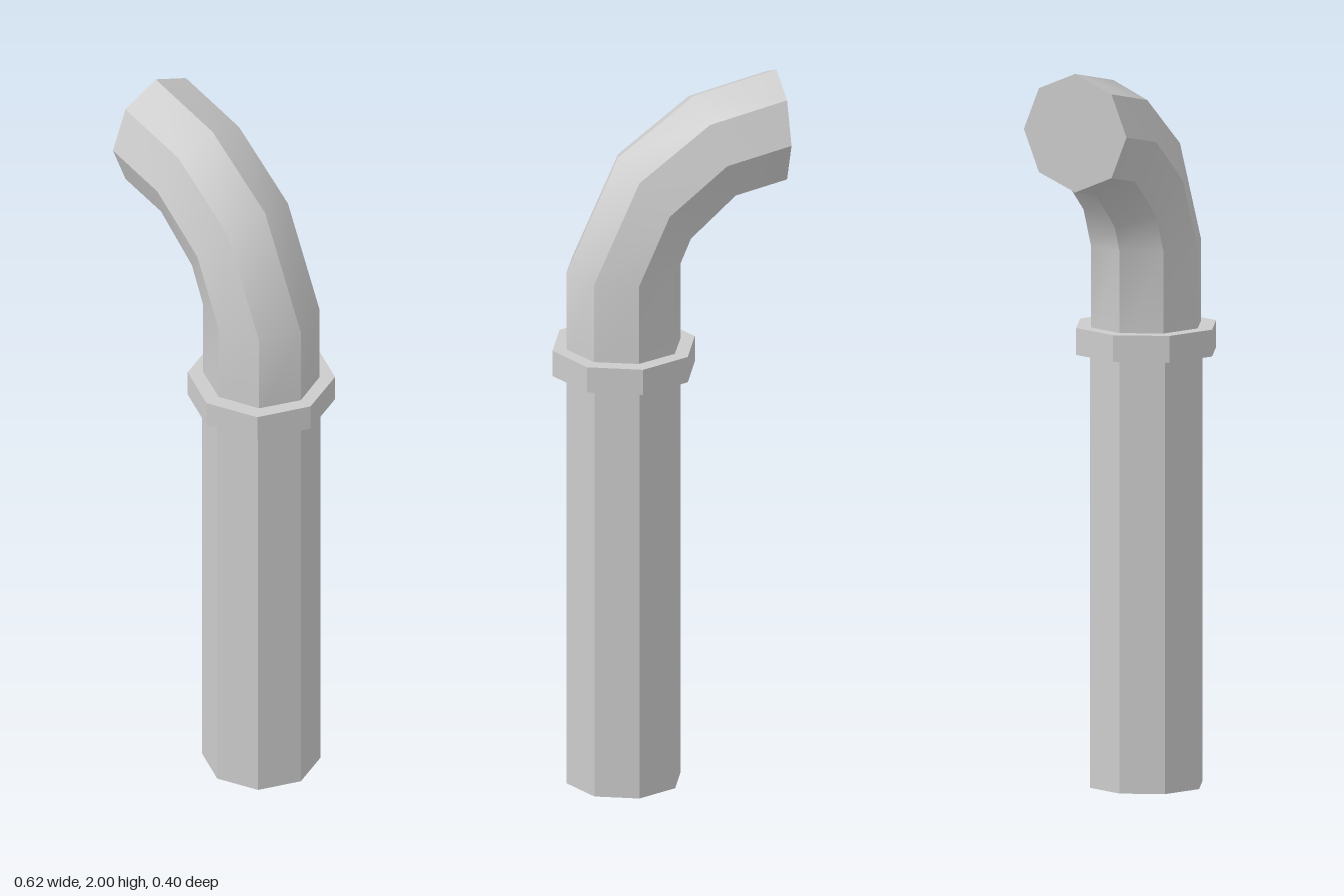
import * as THREE from 'three';
import { toCreasedNormals } from 'three/addons/utils/BufferGeometryUtils.js';

const SIDES = 8;
const AXIS_X = 0.113;

// Octagonal tube through rings given as [outerX, outerY, innerX, innerY], closed at both ends
function tubeFromRings(rings, depth) {
  const positions = [], index = [];
  for (const [ox, oy, ix, iy] of rings) {
    for (let i = 0; i < SIDES; i++) {
      const a = (i / SIDES) * Math.PI * 2, c = Math.cos(a);
      positions.push((ox + ix) / 2 + c * (ox - ix) / 2, (oy + iy) / 2 + c * (oy - iy) / 2, Math.sin(a) * depth);
    }
  }
  for (let r = 0; r < rings.length - 1; r++) {
    for (let i = 0; i < SIDES; i++) {
      const a = r * SIDES + i, b = r * SIDES + (i + 1) % SIDES;
      index.push(a, a + SIDES, b, b, a + SIDES, b + SIDES);
    }
  }
  const last = (rings.length - 1) * SIDES;
  for (let i = 1; i < SIDES - 1; i++) {
    index.push(0, i, i + 1);
    index.push(last, last + i + 1, last + i);
  }
  const geometry = new THREE.BufferGeometry();
  geometry.setAttribute('position', new THREE.Float32BufferAttribute(positions, 3));
  geometry.setIndex(index);
  // Smooth along the bend, sharp between the eight sides
  return toCreasedNormals(geometry, 0.64);
}

export function createModel() {
  const group = new THREE.Group();
  group.name = 'bentPipe';
  const smooth = new THREE.MeshStandardMaterial({ color: 0xcccccc });
  const flat = new THREE.MeshStandardMaterial({ color: 0xcccccc, flatShading: true });

  const add = (name, geometry, material) => {
    const mesh = new THREE.Mesh(geometry, material);
    mesh.name = name;
    group.add(mesh);
    return mesh;
  };

  // Straight lower pipe
  add('lowerPipe', new THREE.CylinderGeometry(0.159, 0.159, 1.2, SIDES), flat).position.set(AXIS_X, 0.6, 0);

  // Joint collar
  add('collar', new THREE.CylinderGeometry(0.198, 0.198, 0.073, SIDES), flat).position.set(AXIS_X, 1.217, 0);

  // Upper pipe bending over to the side
  add('elbow', tubeFromRings([
    [0.272, 1.2, -0.046, 1.2],
    [0.272, 1.475, -0.046, 1.475],
    [0.128, 1.793, -0.074, 1.545],
    [-0.083, 1.948, -0.184, 1.649],
    [-0.312, 2.0, -0.312, 1.677],
  ], 0.154), smooth);

  return group;
}
